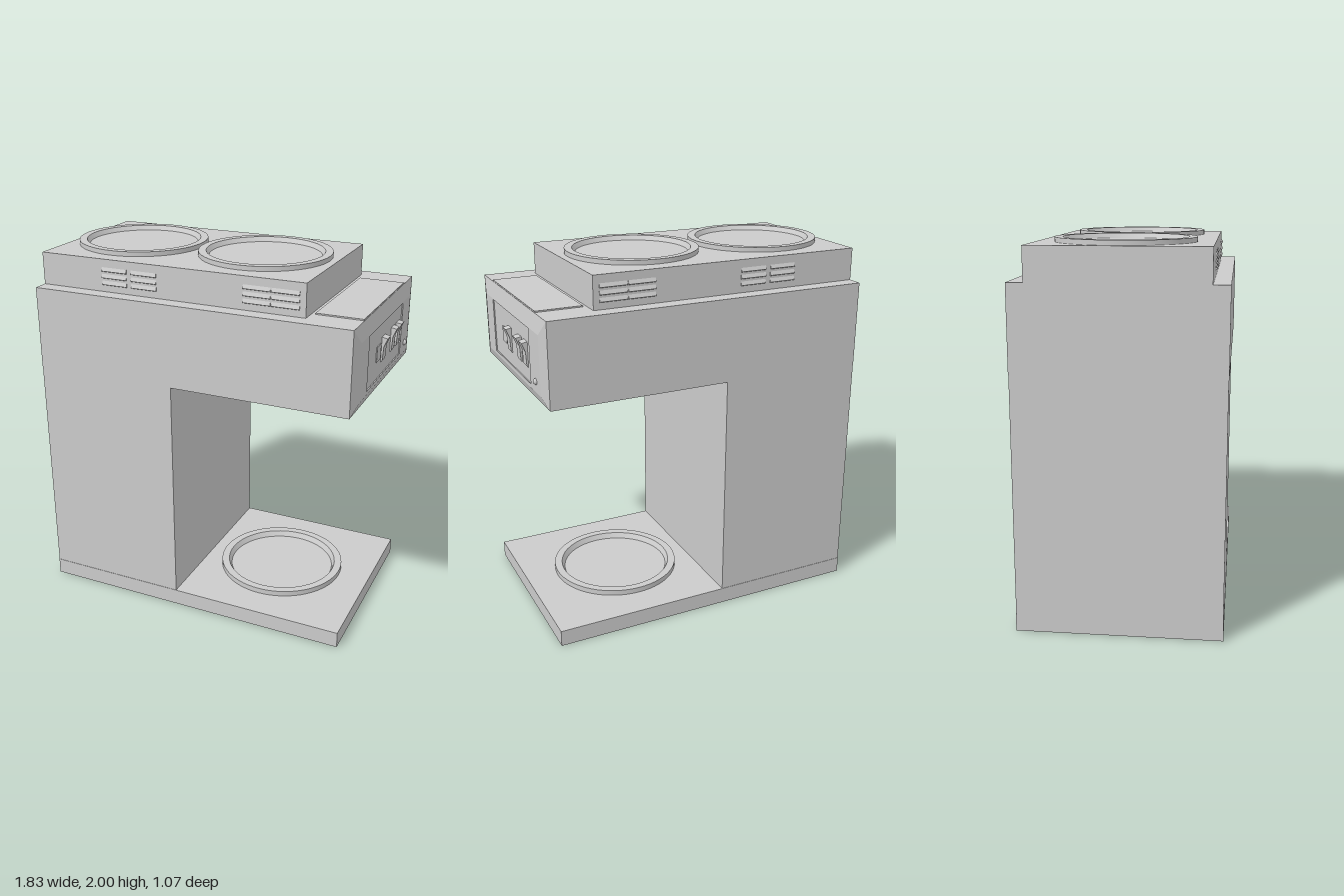
import * as THREE from 'three';
import { toCreasedNormals } from 'three/addons/utils/BufferGeometryUtils.js';

const grey = new THREE.MeshStandardMaterial({ color: 0xcccccc });

function add(parent, name, geometry, x = 0, y = 0, z = 0) {
  const mesh = new THREE.Mesh(geometry, grey);
  mesh.name = name;
  mesh.position.set(x, y, z);
  parent.add(mesh);
  return mesh;
}

// Box given by its limits on each axis
function block(parent, name, x0, x1, y0, y1, z0, z1) {
  return add(parent, name, new THREE.BoxGeometry(x1 - x0, y1 - y0, z1 - z0),
    (x0 + x1) / 2, (y0 + y1) / 2, (z0 + z1) / 2);
}

// Raised warmer rim with a slightly tapered inner wall
function warmerRing(parent, name, x, y, h) {
  const profile = [[0.36, 0], [0.36, h], [0.318, h], [0.302, 0]].map(p => new THREE.Vector2(...p));
  add(parent, name, toCreasedNormals(new THREE.LatheGeometry(profile, 64), 0.6), x, y, 0);
}

// Rectangle in the z/y plane as a path
function rectangle(path, z0, z1, y0, y1) {
  path.moveTo(-z0, y0).lineTo(-z1, y0).lineTo(-z1, y1).lineTo(-z0, y1).closePath();
  return path;
}

// Four sloped sides between the head's edge and the raised control face
function bevelGeometry() {
  const corners = (x, w, y0, y1) => [[x, y0, w], [x, y0, -w], [x, y1, -w], [x, y1, w]];
  const outer = corners(0.87, 0.535, 1.35, 1.8);
  const inner = corners(0.888, 0.455, 1.4, 1.715);
  const pos = [];
  for (let i = 0; i < 4; i++) {
    const j = (i + 1) % 4;
    for (const p of [outer[i], outer[j], inner[j], outer[i], inner[j], inner[i]]) pos.push(...p);
  }
  const g = new THREE.BufferGeometry();
  g.setAttribute('position', new THREE.Float32BufferAttribute(pos, 3));
  g.computeVertexNormals();
  return g;
}

export function createModel() {
  const model = new THREE.Group();
  model.name = 'coffeeBrewer';

  // Body
  block(model, 'base', -0.915, 0.87, 0, 0.09, -0.535, 0.535);
  block(model, 'column', -0.915, -0.11, 0.09, 1.35, -0.533, 0.533);
  block(model, 'head', -0.915, 0.87, 1.35, 1.8, -0.535, 0.535);
  block(model, 'topDeck', -0.915, 0.6, 1.8, 1.975, -0.45, 0.45);
  block(model, 'fillLid', 0.62, 0.868, 1.8, 1.807, -0.36, 0.37);

  // Warmer rings
  warmerRing(model, 'lowerWarmer', 0.335, 0.09, 0.03);
  warmerRing(model, 'rearWarmer', -0.54, 1.975, 0.025);
  warmerRing(model, 'frontWarmer', 0.2, 1.975, 0.025);

  // Tilted louvres on both sides of the deck
  const vents = new THREE.Group();
  vents.name = 'vents';
  model.add(vents);
  for (const side of [1, -1])
    for (const x of [-0.47, -0.295, 0.34, 0.493])
      for (const y of [1.848, 1.884, 1.92]) {
        const slat = add(vents, 'louvre', new THREE.BoxGeometry(0.148, 0.022, 0.01), x, y, side * 0.45);
        slat.rotation.x = -side * 0.45;
      }

  // Control face with a recessed panel
  const controls = new THREE.Group();
  controls.name = 'controls';
  model.add(controls);
  add(controls, 'faceBevel', bevelGeometry());
  const face = rectangle(new THREE.Shape(), 0.455, -0.455, 1.4, 1.715);
  face.holes.push(rectangle(new THREE.Path(), 0.32, -0.3, 1.42, 1.71));
  const plate = add(controls, 'controlFace',
    new THREE.ExtrudeGeometry(face, { depth: 0.01, bevelEnabled: false }), 0.878);
  plate.rotation.y = Math.PI / 2;
  block(controls, 'controlPanel', 0.87, 0.882, 1.42, 1.71, -0.3, 0.32);
  block(controls, 'indicatorLamp', 0.88, 0.887, 1.52, 1.602, 0.093, 0.165);

  // Rocker switches, thickest at the top
  const rocker = new THREE.Shape();
  rocker.moveTo(0.88, 1.49).lineTo(0.89, 1.5).lineTo(0.894, 1.575)
    .lineTo(0.913, 1.622).lineTo(0.88, 1.628).closePath();
  for (const z of [0.042, -0.131, -0.229])
    add(controls, 'rockerSwitch',
      new THREE.ExtrudeGeometry(rocker, { depth: 0.056, bevelEnabled: false }), 0, 0, z - 0.028);

  add(controls, 'pilotButton', new THREE.SphereGeometry(0.017, 20, 12), 0.886, 1.46, -0.385);
  return model;
}
